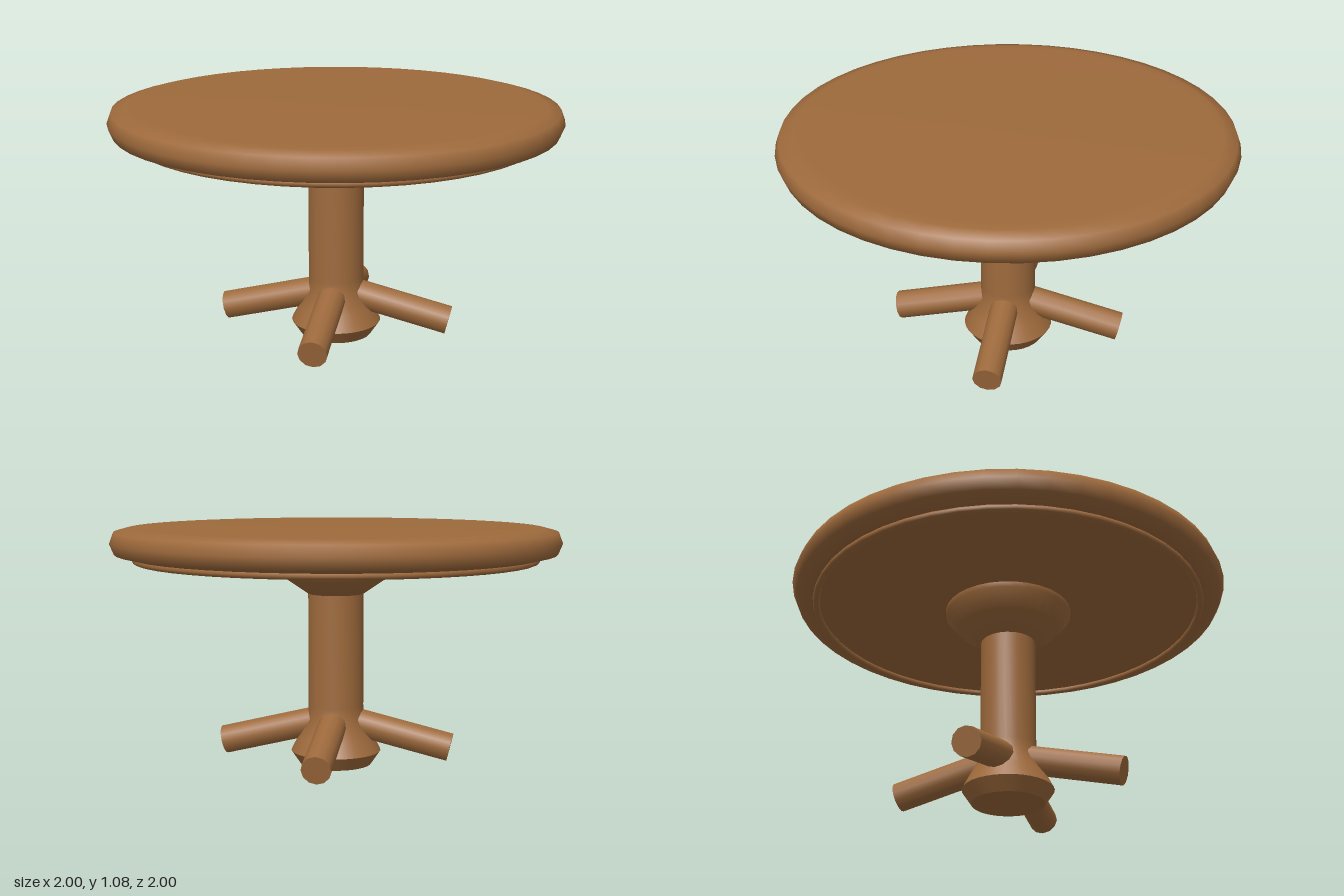
import * as THREE from 'three';
import { toCreasedNormals } from 'three/addons/utils/BufferGeometryUtils.js';

const wood = new THREE.MeshStandardMaterial({ color: 0x9e6a3c });
wood.name = 'wood';

function add(parent, name, geometry) {
  const mesh = new THREE.Mesh(geometry, wood);
  mesh.name = name;
  parent.add(mesh);
  return mesh;
}

// Profile of [radius, y] pairs, listed from the bottom up
function turned(profile, sides, crease) {
  const points = profile.map(([r, y]) => new THREE.Vector2(r, y));
  return toCreasedNormals(new THREE.LatheGeometry(points, sides), crease);
}

export function createModel() {
  const table = new THREE.Group();
  table.name = 'roundTable';

  // Round top with a soft edge
  add(table, 'tableTop', turned([
    [0, 0.947], [0.86, 0.947], [0.91, 0.95], [0.98, 0.967], [1, 1.015],
    [0.982, 1.063], [0.925, 1.078], [0.88, 1.08], [0, 1.08],
  ], 48, 1.2));

  // Thin bead under the rim
  const bead = add(table, 'undersideBead', new THREE.TorusGeometry(0.888, 0.016, 8, 48));
  bead.rotation.x = Math.PI / 2;
  bead.position.y = 0.94;

  // Turned pedestal: bulbous foot, straight column, flared collar
  add(table, 'pedestal', turned([
    [0, 0], [0.162, 0], [0.204, 0.062], [0.168, 0.13], [0.126, 0.21], [0.125, 0.27],
    [0.125, 0.78], [0.225, 0.848], [0.29, 0.922], [0.29, 0.95],
  ], 32, 0.95));

  // Four sloping legs, swung slightly off the main axes
  const start = new THREE.Vector3(0, 0.216, 0);
  const end = new THREE.Vector3(0.521, 0.09, 0);
  const direction = end.clone().sub(start);
  for (let i = 0; i < 4; i++) {
    const pivot = new THREE.Group();
    pivot.name = 'legPivot' + (i + 1);
    pivot.rotation.y = -Math.atan2(0.12, 0.5) + i * Math.PI / 2;
    const leg = add(pivot, 'leg', new THREE.CylinderGeometry(0.065, 0.065, direction.length(), 12));
    leg.position.copy(start).add(end).multiplyScalar(0.5);
    leg.quaternion.setFromUnitVectors(new THREE.Vector3(0, 1, 0), direction.clone().normalize());
    table.add(pivot);
  }
  return table;
}
